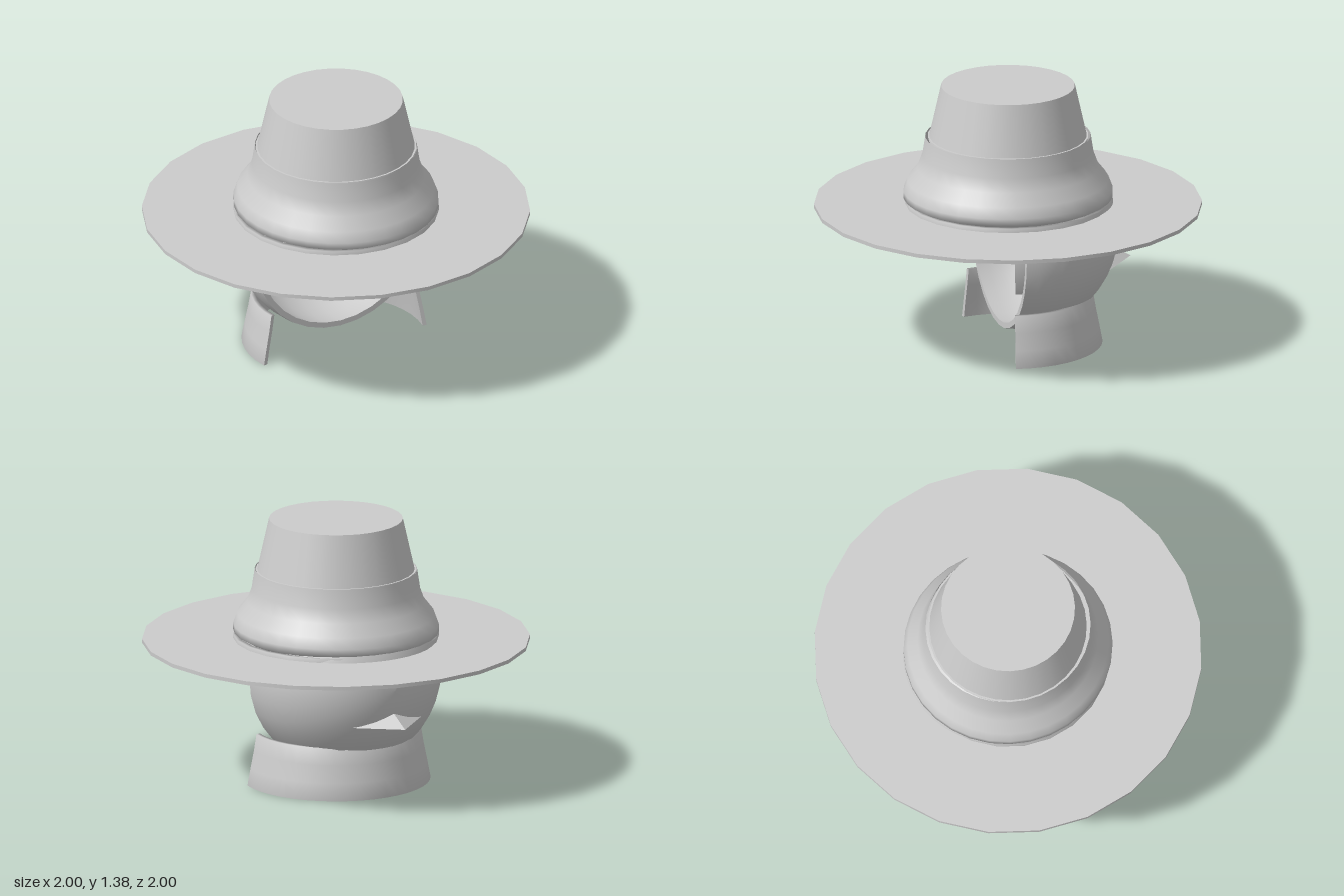
import * as THREE from 'three';
import { ConvexGeometry } from 'three/addons/geometries/ConvexGeometry.js';

const grey = new THREE.MeshStandardMaterial({ color: 0xcccccc, side: THREE.DoubleSide });
grey.name = 'plainGrey';

const V2 = (pairs) => pairs.map(([x, y]) => new THREE.Vector2(x, y));

// Profile of a spherical wall between two heights, outer radius going up and inner coming back
function wallProfile(outer, inner, yMin) {
  const pts = [];
  const arc = (r, from, to) => {
    for (let i = 0; i <= 14; i++) {
      const a = from + ((to - from) * i) / 14;
      pts.push(new THREE.Vector2(Math.max(0, r * Math.cos(a)), r * Math.sin(a)));
    }
  };
  arc(outer, Math.asin(yMin / outer), Math.PI / 2);
  const outside = pts.splice(0);
  arc(inner, Math.PI / 2, Math.asin(yMin / inner));
  return { outside, inside: pts.slice() };
}

export function createModel() {
  const model = new THREE.Group();
  const add = (name, geometry, parent = model) => {
    const mesh = new THREE.Mesh(geometry, grey);
    mesh.name = name;
    parent.add(mesh);
    return mesh;
  };

  // Hat: tapered crown, soft sagging band, flat brim and an inner ring
  const hat = new THREE.Group();
  hat.name = 'hat';
  model.add(hat);
  add('crown', new THREE.CylinderGeometry(0.345, 0.41, 0.29, 32, 1, true).translate(0, 1.235, 0), hat);
  add('crownTop', new THREE.CircleGeometry(0.345, 32).rotateX(-Math.PI / 2).translate(0, 1.38, 0), hat);
  const band = V2([[0.49, 0.765], [0.525, 0.785], [0.525, 0.82], [0.505, 0.875],
    [0.455, 0.94], [0.43, 1.01], [0.415, 1.11]]);
  add('hatBand', new THREE.LatheGeometry(band, 32).scale(1, 1, 1.03), hat);
  add('hatBandTop', new THREE.RingGeometry(0.39, 0.415, 32).rotateX(-Math.PI / 2).translate(0, 1.11, 0), hat);
  add('brim', new THREE.CylinderGeometry(1, 1, 0.02, 24).translate(0, 0.738, 0), hat);
  const ring = V2([[0.505, 0.685], [0.53, 0.685], [0.53, 0.77], [0.505, 0.77], [0.505, 0.685]]);
  add('hatRing', new THREE.LatheGeometry(ring, 24), hat);

  // Head: hollow bowl, open towards the front
  const head = new THREE.Group();
  head.name = 'head';
  head.position.set(0, 0.59, -0.06);
  model.add(head);
  const wall = wallProfile(0.51, 0.482, -0.11);
  const turn = (points) => new THREE.LatheGeometry(points, 32).rotateX(-Math.PI / 2);
  add('headOutside', turn(wall.outside), head);
  add('headInside', turn(wall.inside), head);
  add('headRim', turn([wall.inside[14], wall.outside[0]]), head);

  // Lining inside the bowl, ending above the jaw and reaching past the rim
  const lining = new THREE.SphereGeometry(0.483, 24, 6,
    -0.34, Math.PI + 0.68, Math.acos(0.11 / 0.483), Math.acos(-0.21 / 0.483) - Math.acos(0.11 / 0.483));
  // Turn the arc so its gap faces the front
  const arc = lining.rotateY(Math.PI);
  add('lining', arc, head);

  // Pyramid nose piercing the back of the bowl
  add('nose', new ConvexGeometry([
    new THREE.Vector3(0, 0.67, -0.2),
    new THREE.Vector3(-0.25, 0.4, -0.45),
    new THREE.Vector3(0.25, 0.4, -0.45),
    new THREE.Vector3(0, 0.4, -0.66),
  ]));

  // Collar: flared band wrapped round the back, open at the front
  const spread = 0.21;
  const collar = V2([[0.465, 0], [0.487, 0], [0.47, 0.09], [0.452, 0.18], [0.437, 0.27],
    [0.417, 0.27], [0.432, 0.18], [0.45, 0.09], [0.465, 0]]);
  add('collar', new THREE.LatheGeometry(collar, 24, Math.PI / 2 - spread, Math.PI + 2 * spread));
  // End caps of the collar
  const cap = new THREE.ShapeGeometry(new THREE.Shape(collar.slice(0, -1)));
  for (const angle of [-spread, Math.PI + spread]) {
    add('collarEnd', cap.clone().rotateY(spread < 0 ? 0 : angle));
  }

  return model;
}
